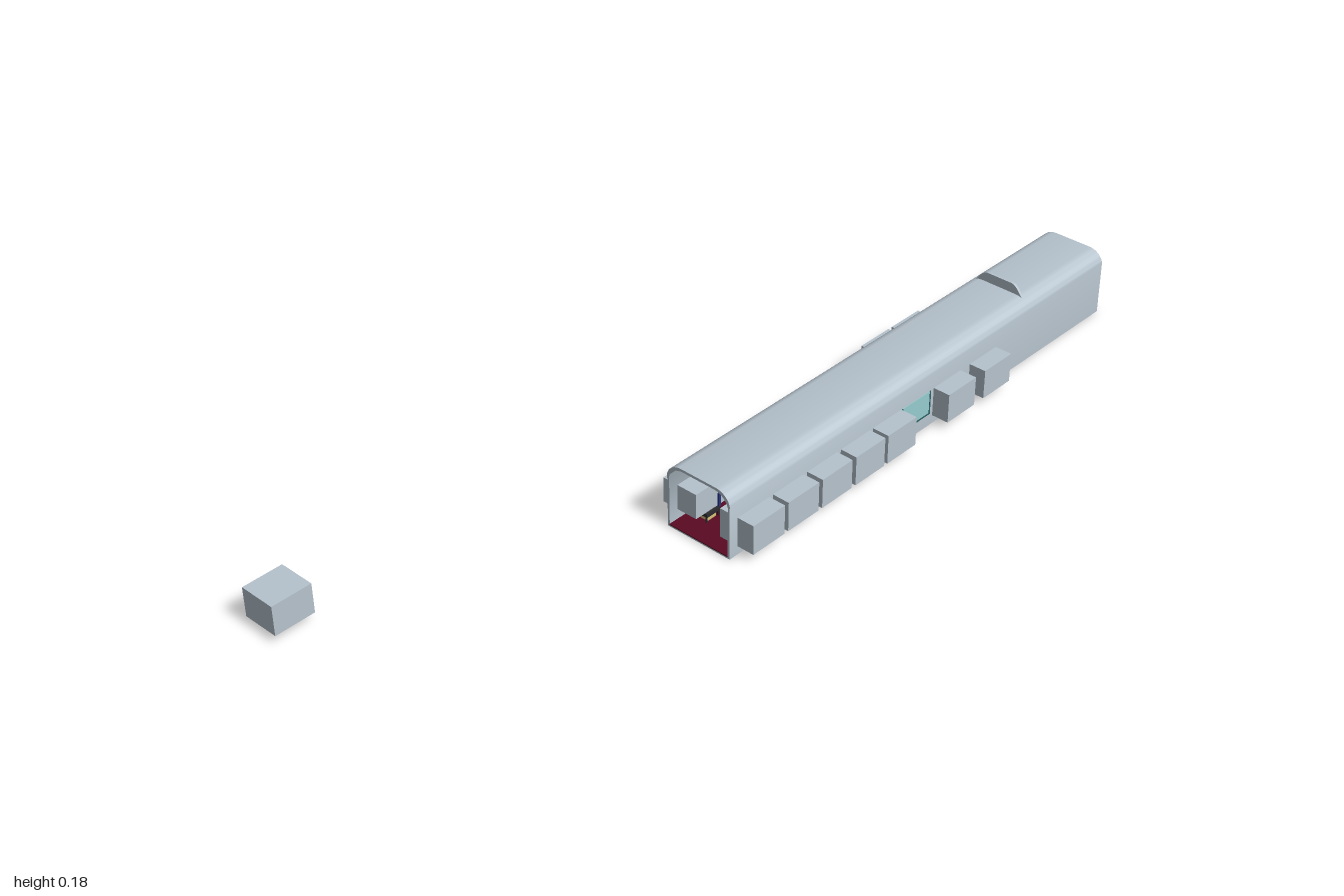
import * as THREE from 'three';
import { toCreasedNormals } from 'three/addons/utils/BufferGeometryUtils.js';

export function createModel() {
  const model = new THREE.Group();
  model.name = 'railCarriage';
  const mat = (name, color, side = THREE.FrontSide) => {
    const m = new THREE.MeshStandardMaterial({ color, side });
    m.name = name;
    return m;
  };
  const grey = mat('paleGrey', 0xb6c3cd);
  const red = mat('darkRed', 0x5a0a22);
  const blue = mat('navyBlue', 0x26357f);
  const dark = mat('charcoal', 0x2c2c30);
  const gold = mat('paleGold', 0xd8c078);
  const cyan = mat('windowCyan', 0x96cccf);
  const teal = mat('frameTeal', 0x2f6466);

  const add = (name, geometry, material, parent = model) => {
    const mesh = new THREE.Mesh(geometry, material);
    mesh.name = name;
    parent.add(mesh);
    return mesh;
  };
  // Box given by its minimum and maximum on each axis
  const box = (name, x0, x1, y0, y1, z0, z1, material, parent) => {
    const mesh = add(name, new THREE.BoxGeometry(x1 - x0, y1 - y0, z1 - z0), material, parent);
    mesh.position.set((x0 + x1) / 2, (y0 + y1) / 2, (z0 + z1) / 2);
    return mesh;
  };

  const CX = 0.1635;
  // Body section: straight walls, rounded shoulders and a nearly flat roof
  const section = (path, w, bottom, top) => {
    path.moveTo(CX - w, bottom);
    path.lineTo(CX + w, bottom);
    path.lineTo(CX + w, top - 0.027);
    path.bezierCurveTo(CX + w - 0.004, top - 0.012, CX + w - 0.018, top, CX + w - 0.037, top);
    path.lineTo(CX - w + 0.037, top);
    path.bezierCurveTo(CX - w + 0.018, top, CX - w + 0.004, top - 0.012, CX - w, top - 0.027);
    path.closePath();
    return path;
  };

  // Hollow body, open at both ends
  const shape = section(new THREE.Shape(), 0.0825, 0, 0.155);
  shape.holes.push(section(new THREE.Path(), 0.0775, 0.004, 0.149));
  const body = new THREE.ExtrudeGeometry(shape, { depth: 1.245, bevelEnabled: false, curveSegments: 8 });
  body.translate(0, 0, -1);
  add('bodyShell', toCreasedNormals(body, 0.6), grey);
  box('floor', CX - 0.0775, CX + 0.0775, 0.004, 0.0065, -0.999, 0.246, red);

  // Cross wall whose arched top stands above the roof
  const wall = new THREE.Shape();
  wall.moveTo(CX - 0.077, 0.006);
  wall.lineTo(CX + 0.077, 0.006);
  wall.lineTo(CX + 0.077, 0.128);
  wall.lineTo(CX + 0.066, 0.146);
  wall.bezierCurveTo(CX + 0.055, 0.16, CX + 0.045, 0.178, CX + 0.032, 0.178);
  wall.lineTo(CX - 0.032, 0.178);
  wall.bezierCurveTo(CX - 0.045, 0.178, CX - 0.055, 0.16, CX - 0.066, 0.146);
  wall.lineTo(CX - 0.077, 0.128);
  const wallGeo = new THREE.ExtrudeGeometry(wall, { depth: 0.006, bevelEnabled: false, curveSegments: 6 });
  wallGeo.translate(0, 0, -0.727);
  add('crossWall', wallGeo, grey);

  // Window bays pushed through the side walls
  const bay = (x0, x1, y0, zc, parent) =>
    box('windowBay', x0, x1, y0, 0.089, zc - 0.046, zc + 0.046, grey, parent);
  const bays = new THREE.Group();
  bays.name = 'windowBays';
  model.add(bays);
  const rows = [0.176, 0.073, -0.03, -0.134, -0.236];
  for (const z of [...rows, -0.437, -0.561]) bay(0.2, 0.287, 0.02, z, bays);
  for (const z of rows) bay(0.048, 0.136, 0.03, z, bays);
  for (const z of [-0.462, -0.565]) bay(0.03, 0.117, 0.02, z, bays);

  // Block standing apart from the carriage
  box('looseBlock', -0.289, -0.203, 0.02, 0.089, 0.906, 1, grey);

  // Flush window in the left wall, with side and lower frame
  box('windowPane', 0.244, 0.2475, 0.034, 0.088, -0.376, -0.288, cyan);
  box('windowSill', 0.244, 0.248, 0.03, 0.034, -0.38, -0.284, teal);
  for (const z of [-0.38, -0.288]) box('windowJamb', 0.244, 0.248, 0.034, 0.088, z, z + 0.004, teal);

  // Seating on both sides of the aisle
  for (const side of [-1, 1]) {
    for (const z of [...rows, -0.333]) {
      const seat = new THREE.Group();
      seat.name = 'seat';
      seat.position.set(CX + side * 0.048, 0, z);
      model.add(seat);
      box('cushion', -0.026, 0.026, 0.021, 0.029, -0.02, 0.02, dark, seat);
      box('backrest', -0.025, 0.025, 0.029, 0.06, -0.022, -0.016, blue, seat);
      box('base', -0.02, 0.02, 0.0065, 0.019, -0.012, 0.012, gold, seat);
      for (const x of [-0.022, 0.022])
        for (const dz of [-0.017, 0.017])
          box('leg', x - 0.0015, x + 0.0015, 0.0065, 0.021, dz - 0.0015, dz + 0.0015, dark, seat);
    }
  }

  // Round blue post in the aisle and a gold panel high on the cross wall
  const post = add('aislePost', new THREE.CylinderGeometry(0.0115, 0.0115, 0.085, 20), blue);
  post.position.set(CX, 0.049, -0.45);
  box('wallPanel', 0.089, 0.115, 0.089, 0.109, -0.721, -0.717, gold);
  return model;
}
